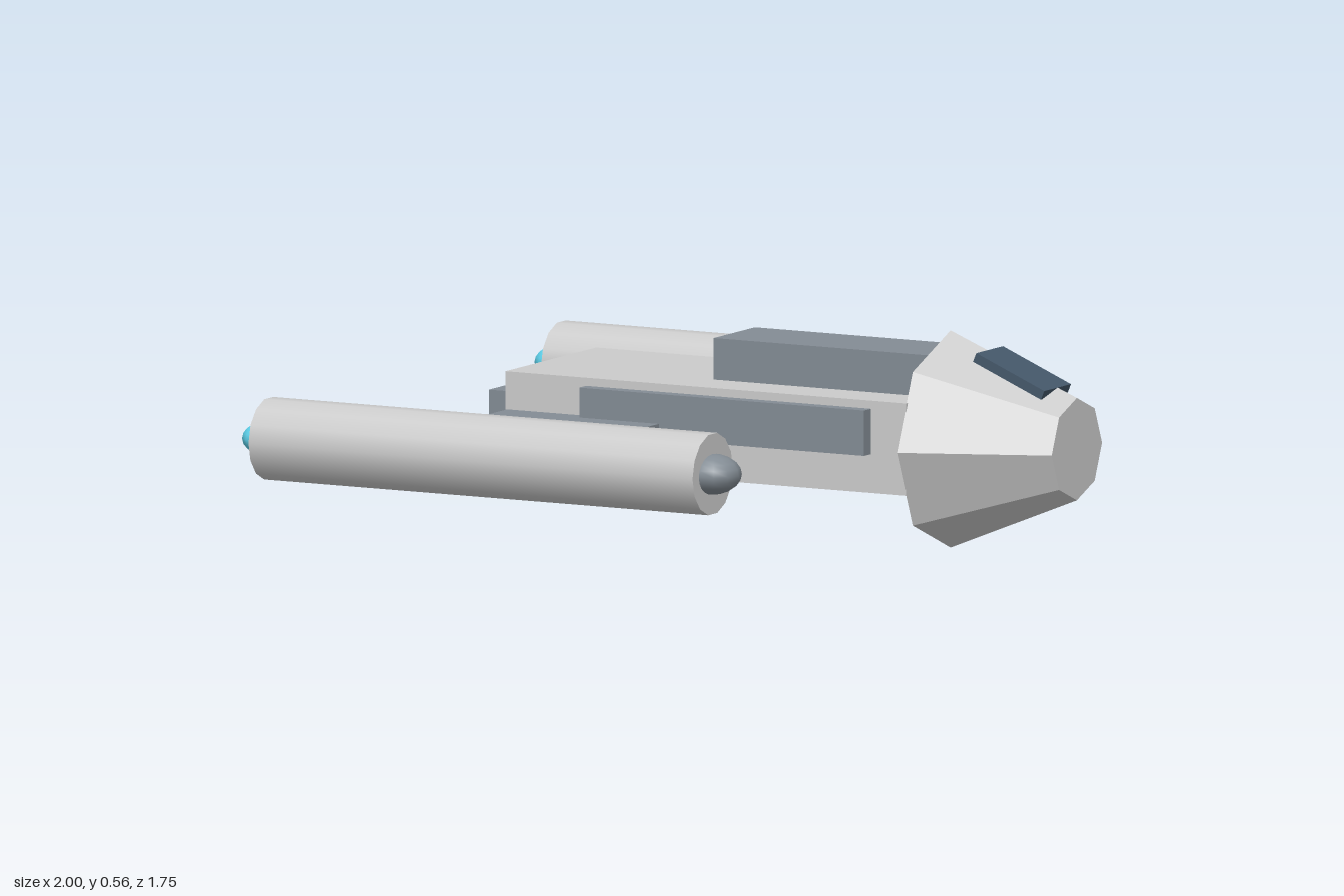
import * as THREE from 'three';

export function createModel() {
  const model = new THREE.Group();
  const material = (color, flatShading = true) => new THREE.MeshStandardMaterial({ color, flatShading });
  const light = material(0xcccccc);
  const lightSmooth = material(0xcccccc, false);
  const dark = material(0x838c94);
  const darkSmooth = material(0x838c94, false);
  const glass = material(0x45586a);
  const glow = material(0x5fd4ee, false);

  const add = (name, geometry, mat, x, y, z) => {
    const mesh = new THREE.Mesh(geometry, mat);
    mesh.name = name;
    mesh.position.set(x, y, z);
    model.add(mesh);
    return mesh;
  };

  // Box given by its extents along each axis
  const box = (name, mat, [x0, x1], [y0, y1], [z0, z1]) =>
    add(name, new THREE.BoxGeometry(x1 - x0, y1 - y0, z1 - z0), mat,
      (x0 + x1) / 2, (y0 + y1) / 2, (z0 + z1) / 2);

  // Cylinder lying along x, pointing to +x
  const tube = (name, mat, rFront, rBack, x0, x1, sides, y, z) =>
    add(name, new THREE.CylinderGeometry(rFront, rBack, x1 - x0, sides).rotateZ(-Math.PI / 2),
      mat, (x0 + x1) / 2, y, z);

  const ellipsoid = (name, mat, rx, ry, rz, x, y, z) =>
    add(name, new THREE.SphereGeometry(1, 12, 10).scale(rx, ry, rz), mat, x, y, z);

  // Fuselage
  box('hull', light, [-0.535, 0.635], [0.165, 0.403], [-0.238, 0.238]);
  box('dorsalBlock', dark, [0, 0.635], [0.39, 0.51], [-0.108, 0.108]);
  box('rearBlock', dark, [-0.64, -0.52], [0.23, 0.335], [-0.137, 0.137]);

  // Eight-sided tapered nose with its window slab
  tube('nose', light, 0.132, 0.28, 0.632, 1, 8, 0.281, 0);
  const cockpitWindow = add('cockpitWindow', new THREE.BoxGeometry(0.215, 0.025, 0.14), glass, 0.84, 0.466, 0);
  cockpitWindow.rotation.z = -0.4;

  // Mirrored side strips, wings and engines
  for (const [side, s] of [['left', 1], ['right', -1]]) {
    const span = (a, b) => (s > 0 ? [a, b] : [-b, -a]);
    const z = s * 0.768;
    box(side + 'SideStrip', dark, [-0.3, 0.53], [0.265, 0.382], span(0.22, 0.274));
    box(side + 'Wing', dark, [-0.53, -0.068], [0.237, 0.305], span(0.22, 0.69));
    tube(side + 'Engine', lightSmooth, 0.106, 0.106, -0.932, 0.364, 14, 0.27, z);
    ellipsoid(side + 'EngineIntake', darkSmooth, 0.075, 0.052, 0.073, 0.364, 0.27, z);
    ellipsoid(side + 'EngineGlow', glow, 0.068, 0.045, 0.068, -0.932, 0.27, z);
  }

  return model;
}
